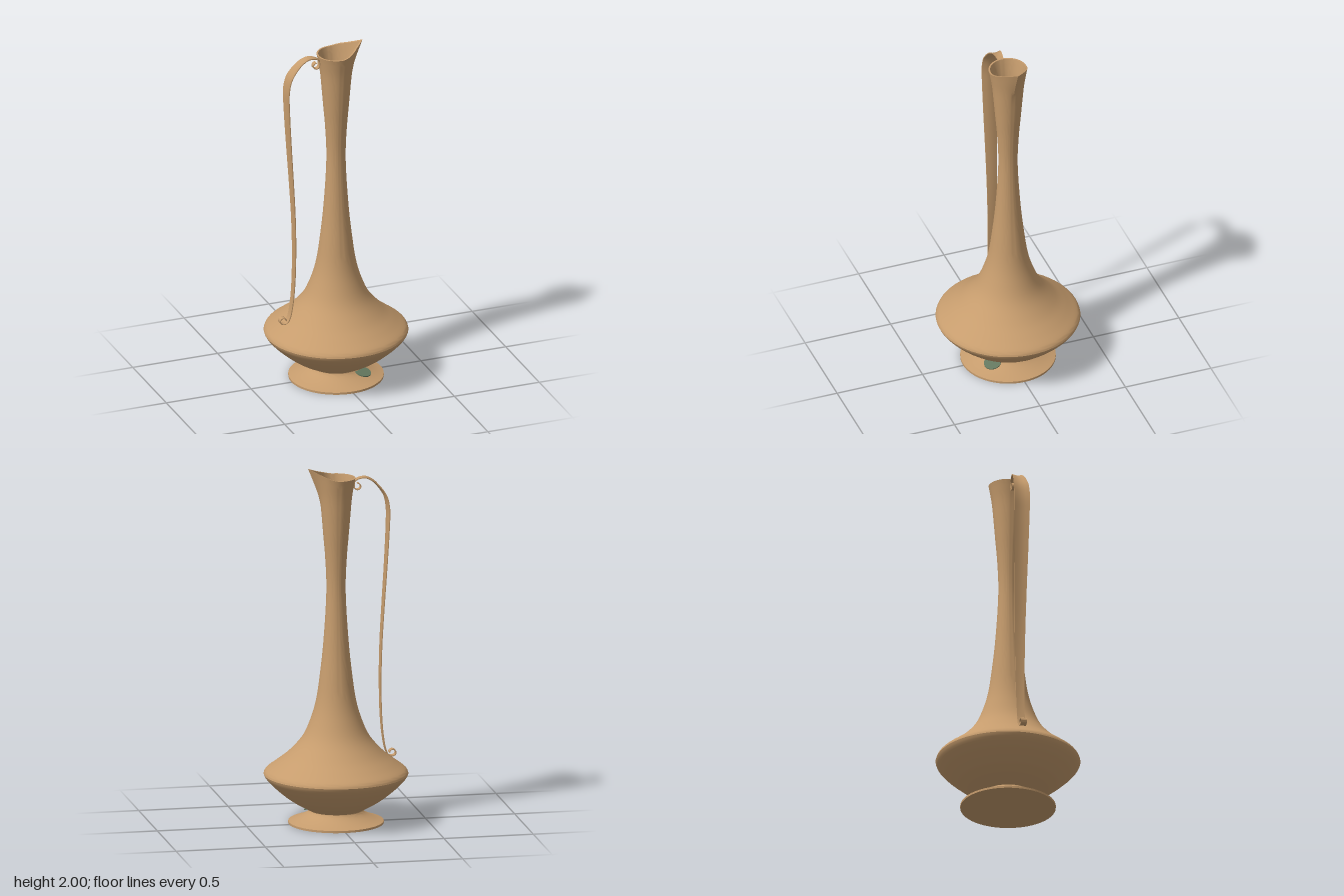
import * as THREE from 'three';
import { toCreasedNormals } from 'three/addons/utils/BufferGeometryUtils.js';

const V2 = (x, y) => new THREE.Vector2(x, y);
const smooth = (pts, n) => new THREE.SplineCurve(pts.map(p => V2(...p))).getPoints(n);

// Profile curves as [radius, height]
const FOOT = [[0.262, 0.012], [0.22, 0.026], [0.175, 0.047], [0.15, 0.066], [0.146, 0.074]];
const BELLY = [[0.146, 0.074], [0.175, 0.09], [0.225, 0.118], [0.28, 0.156], [0.345, 0.212], [0.385, 0.255], [0.397, 0.278]];
const NECK = [[0.397, 0.278], [0.385, 0.3], [0.33, 0.341], [0.26, 0.398], [0.185, 0.485], [0.138, 0.59],
  [0.108, 0.7], [0.087, 0.85], [0.071, 1.0], [0.057, 1.2], [0.053, 1.35], [0.06, 1.5], [0.07, 1.62],
  [0.079, 1.73], [0.088, 1.83], [0.1, 1.905], [0.107, 1.94]];

// Pull the mouth into a teardrop with a raised pouring lip toward +x
function pullSpout(geo) {
  const p = geo.attributes.position;
  const tangent = Math.acos(0.107 / 0.157);
  for (let i = 0; i < p.count; i++) {
    const x = p.getX(i), y = p.getY(i), z = p.getZ(i);
    if (y < 1.74) continue;
    const t = ((y - 1.74) / 0.2) ** 2;
    const a = Math.abs(Math.atan2(z, x));
    const f = a < tangent ? 1 + t * (1 / Math.cos(tangent - a) - 1) : 1;
    const lift = x > 0 ? 0.057 * t * (x * f / 0.155) ** 1.4 : 0;
    p.setXYZ(i, x * f, y + lift, z * f);
  }
  return geo;
}

// Closed strap swept along a path in the xy plane; points are [x, y, halfWidth, bow]
function strap(pts, steps, thick) {
  const path = new THREE.CatmullRomCurve3(pts.map(p => new THREE.Vector3(p[0], p[1], 0)), false, 'centripetal');
  const across = [-1, -0.5, 0, 0.5, 1];
  const ring = [...across.map(s => [s, 0.5]), ...across.slice().reverse().map(s => [s, -0.5])];
  const n = ring.length, pos = [], idx = [];
  for (let i = 0; i <= steps; i++) {
    const u = i / steps, k = Math.min(Math.floor(u * (pts.length - 1)), pts.length - 2);
    const f = u * (pts.length - 1) - k;
    const w = THREE.MathUtils.lerp(pts[k][2], pts[k + 1][2], f);
    const bow = THREE.MathUtils.lerp(pts[k][3], pts[k + 1][3], f);
    const c = path.getPoint(u), d = path.getTangent(u);
    for (const [s, h] of ring) {
      const o = h * thick + bow * (s * s - 0.5);
      pos.push(c.x + d.y * o, c.y - d.x * o, s * w);
    }
  }
  for (let i = 0; i < steps; i++) {
    for (let j = 0; j < n; j++) {
      const a = i * n + j, b = i * n + (j + 1) % n;
      idx.push(a, b, a + n, b, b + n, a + n);
    }
  }
  const last = steps * n;
  for (let j = 1; j < n - 1; j++) idx.push(0, j + 1, j, last, last + j, last + j + 1);
  const geo = new THREE.BufferGeometry();
  geo.setAttribute('position', new THREE.Float32BufferAttribute(pos, 3));
  geo.setIndex(idx);
  return toCreasedNormals(geo, 0.8);
}

export function createModel() {
  const group = new THREE.Group();
  const clay = new THREE.MeshStandardMaterial({ color: 0xc69c6d, side: THREE.DoubleSide });
  clay.name = 'warm tan';
  const green = new THREE.MeshStandardMaterial({ color: 0x64785f, side: THREE.DoubleSide });
  green.name = 'muted green';
  const add = (name, geo, mat) => {
    const mesh = new THREE.Mesh(geo, mat);
    mesh.name = name;
    group.add(mesh);
    return mesh;
  };

  // Foot
  const foot = [V2(0, 0), V2(0.262, 0), ...smooth(FOOT, 12)];
  add('foot', toCreasedNormals(new THREE.LatheGeometry(foot, 64), 0.6), clay);

  // Vessel: belly, neck and spouted mouth, with an inner wall
  const neck = smooth(NECK, 70);
  const belly = smooth(BELLY, 20);
  const inner = neck.slice().reverse().map(p => V2(p.x - 0.009, p.y));
  const profile = [V2(0, 0.074), ...belly, ...neck.slice(1), ...inner,
    ...belly.slice(0, -1).reverse().map(p => V2(p.x - 0.009, p.y + 0.009)), V2(0, 0.083)];
  add('vessel', toCreasedNormals(pullSpout(new THREE.LatheGeometry(profile, 64)), 0.6), clay);

  // Green lining inside the upper neck
  const lining = neck.filter(p => p.y > 1.28 && p.y < 1.67).map(p => V2(p.x - 0.0105, p.y)).reverse();
  add('neckLining', new THREE.LatheGeometry(lining, 48), green);

  // Small round green patch lying on the foot
  const patch = new THREE.CylinderGeometry(0.047, 0.047, 0.006, 32);
  patch.rotateX(0.3);
  patch.translate(0, 0.058, 0.168);
  patch.rotateY(0.68);
  add('footPatch', patch, green);

  // Strap handle with a scroll at each end
  const scroll = (cx, cy, r, from, to, w) => Array.from({ length: 9 }, (_, i) => {
    const a = THREE.MathUtils.degToRad(from + (to - from) * i / 8);
    return [cx + r * Math.cos(a), cy + r * Math.sin(a), w, 0];
  });
  const handle = [
    ...scroll(-0.119, 1.887, 0.018, -270, 0, 0.014),
    [-0.102, 1.915, 0.015, 0], [-0.125, 1.93, 0.018, 0.002], [-0.165, 1.934, 0.024, 0.004],
    [-0.205, 1.915, 0.03, 0.006], [-0.24, 1.88, 0.036, 0.008], [-0.272, 1.83, 0.042, 0.01],
    [-0.287, 1.76, 0.045, 0.01], [-0.286, 1.65, 0.043, 0.008], [-0.276, 1.45, 0.039, 0.006],
    [-0.262, 1.22, 0.034, 0.004], [-0.25, 1.0, 0.03, 0.003], [-0.246, 0.8, 0.027, 0.002],
    [-0.25, 0.6, 0.024, 0.002], [-0.262, 0.47, 0.022, 0.001], [-0.278, 0.395, 0.021, 0],
    [-0.296, 0.366, 0.021, 0],
    ...scroll(-0.315, 0.381, 0.018, -90, -360, 0.017),
  ];
  add('handle', strap(handle, 170, 0.005), clay);

  return group;
}
